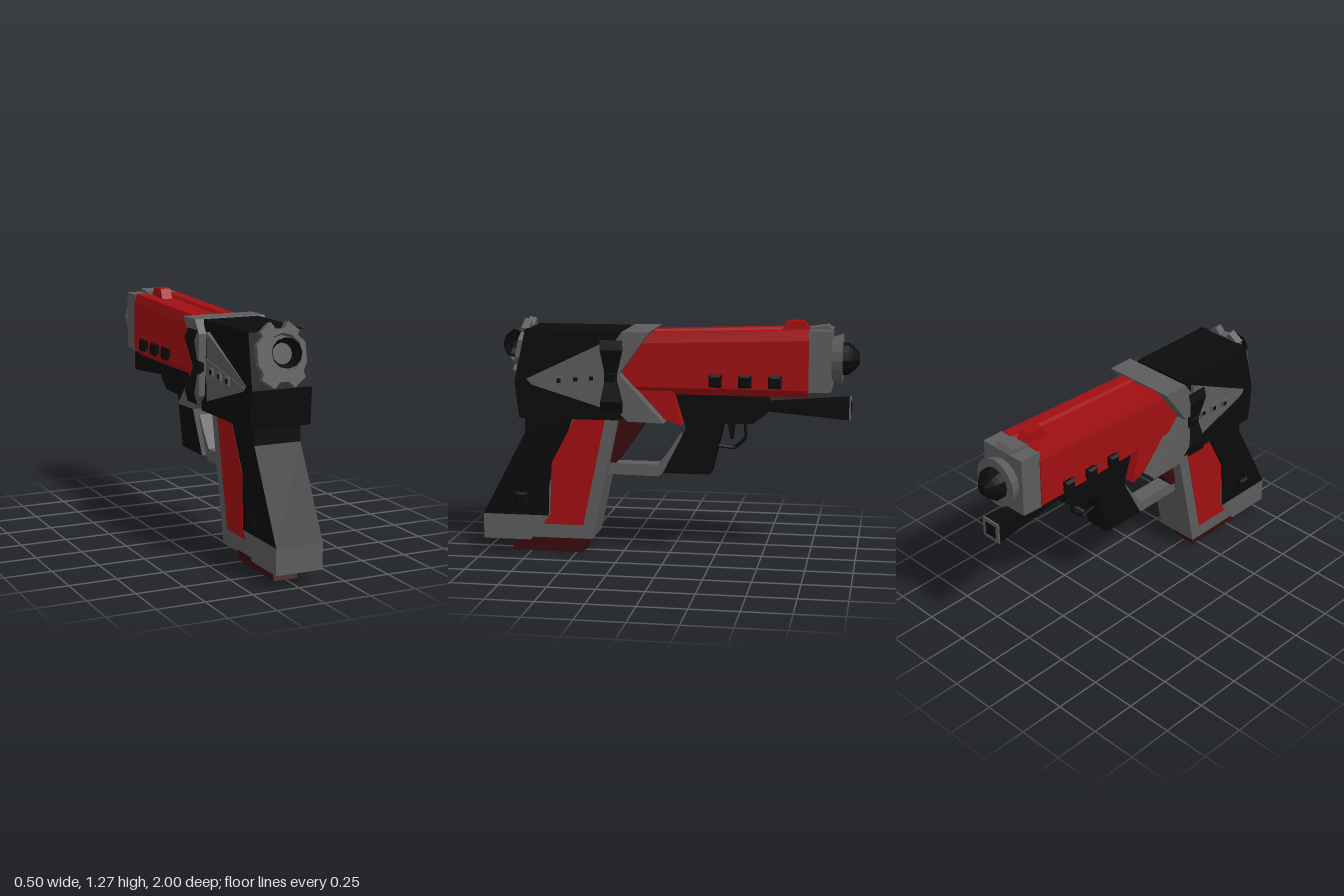
import * as THREE from 'three';

export function createModel() {
  const model = new THREE.Group();
  model.name = 'sciFiPistol';
  const paint = (name, color) => {
    const m = new THREE.MeshStandardMaterial({ color });
    m.name = name;
    return m;
  };
  const black = paint('black', 0x0b0b0b);
  const grey = paint('grey', 0x5c5c5c);
  const red = paint('red', 0xa00f12);
  const darkRed = paint('darkRed', 0x3a0a0d);

  // Adds a mesh with flat facets
  const add = (name, geo, mat, parent = model) => {
    const g = geo.index ? geo.toNonIndexed() : geo;
    g.computeVertexNormals();
    const mesh = new THREE.Mesh(g, mat);
    mesh.name = name;
    parent.add(mesh);
    return mesh;
  };
  const shape = (pts) => new THREE.Shape(pts.map(([a, b]) => new THREE.Vector2(a, b)));
  // Side outline of [z, y] points, extruded to x = -half..half
  const slab = (pts, half) => {
    const g = new THREE.ExtrudeGeometry(shape(pts), { depth: half * 2, bevelEnabled: false });
    return g.translate(0, 0, -half).rotateY(-Math.PI / 2);
  };
  const bend = (g, rule) => {
    const p = g.attributes.position;
    const v = new THREE.Vector3();
    for (let i = 0; i < p.count; i++) {
      rule(v.fromBufferAttribute(p, i));
      p.setXYZ(i, v.x, v.y, v.z);
    }
    return g;
  };
  // Turned part along z from [radius, z] points
  const turned = (pts, sides) =>
    new THREE.LatheGeometry(pts.map(([r, z]) => new THREE.Vector2(r, z)), sides).rotateX(Math.PI / 2);

  // Rear body, slightly wider at the bottom
  const body = slab([[0.235, 0.75], [0.78, 0.75], [0.805, 0.945], [0.745, 1.22], [0.235, 1.22]], 1);
  add('rearBody', bend(body, (v) => { v.x *= 0.155 + (1.22 - v.y) * 0.03; }), black);

  // Collar with a notched front edge
  add('collar', slab([[0.22, 1.22], [0.075, 1.22], [0.235, 1.0], [0, 0.745], [0.19, 0.75],
    [0.27, 0.83], [0.27, 1.15]], 0.198), grey);

  // Barrel housing: bevelled section with a top groove, rising to the muzzle
  const half = [[0.1, 0.885], [0.14, 0.925], [0.14, 1.185], [0.125, 1.238], [0.06, 1.238], [0.05, 1.222]];
  const section = [...half, ...half.map(([x, y]) => [-x, y]).reverse()];
  const barrel = new THREE.ExtrudeGeometry(shape(section), { depth: 0.99, bevelEnabled: false });
  barrel.translate(0, 0, -0.745);
  add('barrelHousing', bend(barrel, (v) => {
    if (v.y > 1) v.y -= (v.z + 0.745) * 0.034;
    v.x *= 1 - (v.z + 0.745) * 0.05;
  }), red);
  add('barrelKeel', slab([[0.24, 1.0], [0.2, 0.76], [0.0, 0.75], [-0.08, 0.72], [-0.04, 0.9]], 0.115), red);
  add('frontSight', slab([[-0.595, 1.22], [-0.62, 1.275], [-0.71, 1.275], [-0.745, 1.23]], 0.03), red);

  // Muzzle end
  add('muzzleBlock', slab([[-0.74, 0.915], [-0.74, 1.235], [-0.86, 1.235], [-0.86, 0.92]], 0.135), grey);
  add('muzzleRidge', slab([[-0.745, 1.23], [-0.745, 1.243], [-0.84, 1.256], [-0.86, 1.23]], 0.057), grey);
  add('muzzleRing', turned([[0, -0.915], [0.13, -0.915], [0.11, -0.855]], 16), grey).position.y = 1.08;
  add('muzzleKnob', turned([[0, -1], [0.03, -1], [0.068, -0.965], [0.085, -0.945], [0.085, -0.91]], 12), black)
    .position.y = 1.08;

  // Rear plate with lobes, and its knob
  const rear = new THREE.Group();
  rear.name = 'rearDial';
  rear.position.set(0, 1.112, 0.775);
  rear.rotation.x = -0.2;
  model.add(rear);
  const lobes = [[0.024, 0.121], [0.047, 0.155], [0.104, 0.108], [0.094, 0.085], [0.131, 0.047],
    [0.131, -0.05], [0.108, -0.09], [0.118, -0.122], [0.054, -0.168], [0.024, -0.137]];
  const plate = shape([...lobes, ...lobes.map(([x, y]) => [-x, y]).reverse()]);
  add('lobedPlate', new THREE.ExtrudeGeometry(plate, { depth: 0.04, bevelEnabled: false })
    .translate(0, 0, -0.015), grey, rear);
  add('dialBase', turned([[0.075, 0.075], [0.098, 0.05], [0.088, 0.02]], 12), grey, rear);
  add('dialKnob', turned([[0.05, 0.02], [0.074, 0.06], [0.074, 0.09], [0.035, 0.12], [0, 0.12]].reverse(), 12), black, rear);

  // Grip
  add('gripFrame', slab([[1, 0.21], [1, 0.075], [0.74, 0.075], [0.73, 0.09], [0.4, 0.09],
    [0.26, 0.75], [0.5, 0.75], [0.63, 0.4], [0.66, 0.21]], 0.122), grey);
  add('gripBase', slab([[1, 0.212], [1, 0.075], [0.74, 0.075], [0.64, 0.212]], 0.127), grey);
  add('gripPanel', slab([[0.62, 0.5], [0.49, 0.75], [0.325, 0.75], [0.45, 0.165], [0.67, 0.165],
    [0.63, 0.22]], 0.124), red);
  add('gripBack', slab([[0.76, 0.76], [0.76, 0.665], [1, 0.212], [0.64, 0.212], [0.63, 0.5],
    [0.495, 0.76]], 0.127), black);
  add('magazine', slab([[0.86, 0], [0.465, 0], [0.44, 0.1], [0.83, 0.1]], 0.066), darkRed);
  add('gripWeb', slab([[0.3, 0.755], [0.1, 0.755], [0.28, 0.5], [0.33, 0.5]], 0.06), darkRed);
  add('gripBridge', slab([[0.33, 0.495], [0.055, 0.495], [-0.01, 0.58], [-0.06, 0.66], [-0.06, 0.5],
    [0.02, 0.455], [0.055, 0.43], [0.33, 0.435]], 0.045), grey);

  // Small under-barrel unit
  add('underUnit', slab([[-0.04, 0.89], [-0.34, 0.89], [-0.36, 0.87], [-0.53, 0.865], [-0.525, 0.79],
    [-0.455, 0.735], [-0.295, 0.73], [-0.23, 0.455], [0.025, 0.455], [-0.1, 0.7]], 0.07), black);
  const square = (r0, r1, len) => new THREE.CylinderGeometry(r0 * Math.SQRT2, r1 * Math.SQRT2, len, 4, 1)
    .rotateY(Math.PI / 4).rotateX(Math.PI / 2);
  add('underBarrel', square(0.025, 0.055, 0.435), black).position.set(0, 0.82, -0.74);
  add('underMuzzleRim', new THREE.BoxGeometry(0.112, 0.112, 0.008), grey).position.set(0, 0.82, -0.957);
  add('underBore', new THREE.BoxGeometry(0.07, 0.07, 0.006), black).position.set(0, 0.82, -0.96);
  const guard = new THREE.CatmullRomCurve3([[0.74, -0.405], [0.65, -0.41], [0.592, -0.35], [0.602, -0.265]]
    .map(([y, z]) => new THREE.Vector3(0, y, z)), false, 'catmullrom', 0.2);
  add('triggerGuard', new THREE.TubeGeometry(guard, 12, 0.01, 6), black);
  add('trigger', slab([[-0.31, 0.74], [-0.355, 0.74], [-0.345, 0.64], [-0.33, 0.64]], 0.015), black);

  // Parts on both sides
  for (const s of [1, -1]) {
    const side = new THREE.Group();
    side.name = s > 0 ? 'leftSide' : 'rightSide';
    side.scale.x = s;
    model.add(side);

    // Pointed grey plate that swells towards the collar, with a raised band
    const swell = (g, extra) => bend(g, (v) => {
      v.x = v.x < 0 ? 0.14 : 0.162 + (0.77 - v.z) * 0.03 + extra;
    });
    add('pointedPlate', swell(slab([[0.77, 0.945], [0.31, 1.165], [0.31, 0.81]], 1), 0), grey, side);
    add('plateBand', swell(slab([[0.73, 0.945], [0.31, 1.03], [0.31, 0.905]], 1), 0.004), grey, side);
    [[0.56, 0.955], [0.47, 0.964], [0.385, 0.972]].forEach(([z, y]) => {
      const x = 0.17 + (0.77 - z) * 0.03;
      add('stud', new THREE.BoxGeometry(0.02, 0.042, 0.04), grey, side).position.set(x - 0.004, y, z);
      add('studCentre', new THREE.BoxGeometry(0.006, 0.022, 0.022), black, side).position.set(x + 0.005, y, z);
    });

    // Waisted wing, open at both ends: [x, y, rear z, front z]
    const wing = [[0.17, 1.12, 0.32, 0.23], [0.232, 1.18, 0.33, 0.21], [0.25, 1.13, 0.325, 0.205],
      [0.222, 1.0, 0.305, 0.24], [0.222, 0.97, 0.305, 0.24], [0.25, 0.86, 0.325, 0.205],
      [0.235, 0.8, 0.33, 0.21], [0.17, 0.86, 0.32, 0.23]];
    const pos = [];
    const idx = [];
    wing.forEach(([x, y, z0, z1], i) => {
      pos.push(x, y, z0, x, y, z1);
      const a = i * 2;
      if (i < wing.length - 1) idx.push(a, a + 2, a + 3, a, a + 3, a + 1);
    });
    const wingGeo = new THREE.BufferGeometry();
    wingGeo.setAttribute('position', new THREE.Float32BufferAttribute(pos, 3));
    wingGeo.setIndex(idx);
    add('collarWing', wingGeo, black, side);

    // Flared square buttons on barrel, collar and grip: [x, y, z]
    [[0.13, 0.97, -0.265], [0.13, 0.97, -0.42], [0.13, 0.97, -0.575],
      [0.182, 0.985, 0.275], [0.127, 0.31, 0.78]].forEach(([x, y, z]) => {
      const knob = new THREE.LatheGeometry([[0, 0], [0.028, 0], [0.049, 0.032], [0.03, 0.045], [0, 0.045]]
        .map(([r, h]) => new THREE.Vector2(r, h)), 4).rotateY(Math.PI / 4).rotateZ(-Math.PI / 2);
      add('button', knob, black, side).position.set(x, y, z);
    });
  }
  return model;
}
